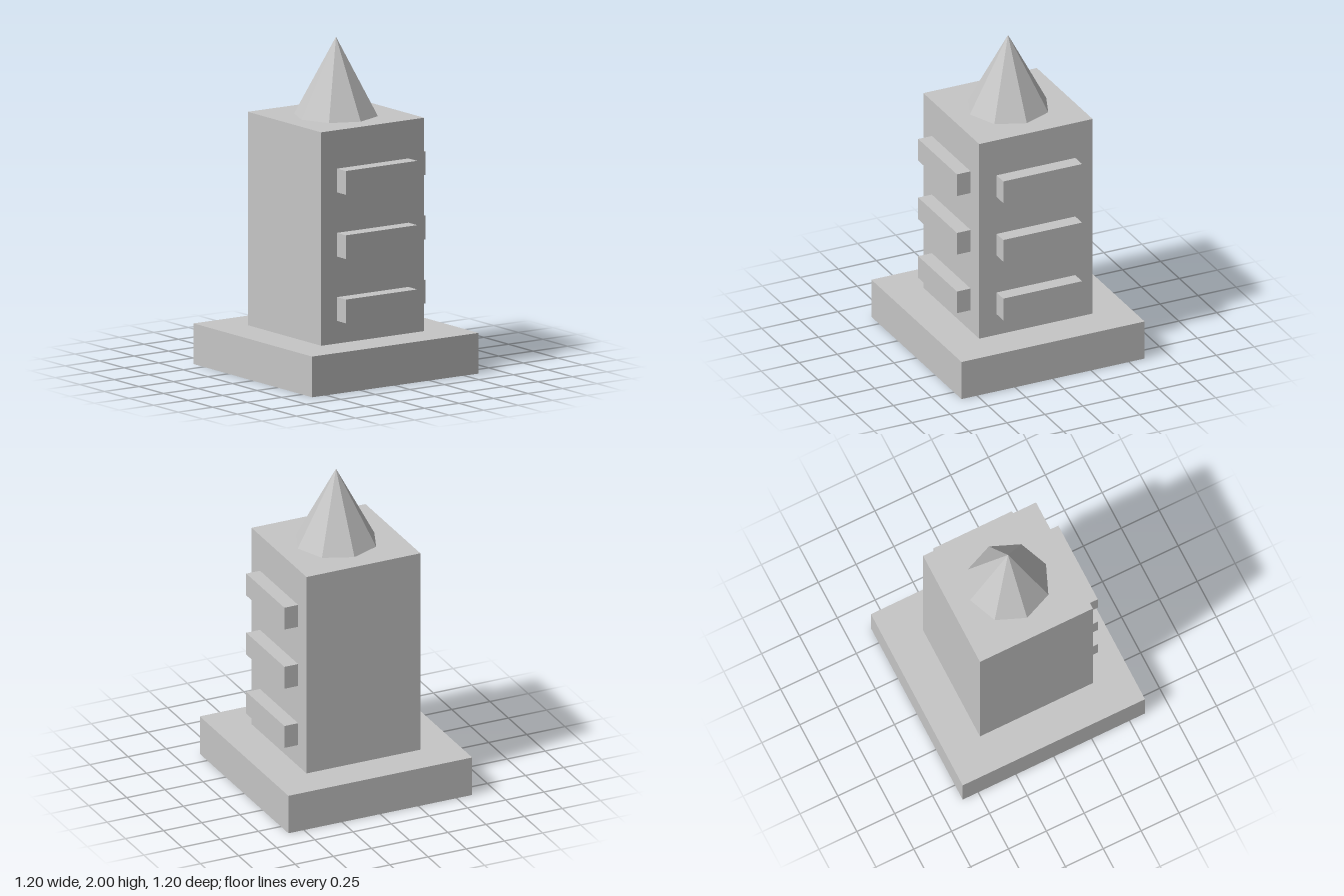
import * as THREE from 'three';

export function createModel() {
  const model = new THREE.Group();
  const stone = new THREE.MeshStandardMaterial({ color: 0xc6c6c6 });
  stone.name = 'light grey stone';
  stone.flatShading = true;

  const add = (name, geometry, x, y, z) => {
    const mesh = new THREE.Mesh(geometry, stone);
    mesh.name = name;
    mesh.position.set(x, y, z);
    model.add(mesh);
  };

  // Square plinth and tower block
  const baseTop = 0.245, towerTop = 1.53, half = 0.373;
  add('base', new THREE.BoxGeometry(1.204, baseTop, 1.204), 0, baseTop / 2, 0);
  add('tower', new THREE.BoxGeometry(half * 2, towerTop - baseTop, half * 2), 0, (baseTop + towerTop) / 2, 0);

  // Eight-sided spire
  const spireHeight = 2 - towerTop;
  add('spire', new THREE.ConeGeometry(0.251, spireHeight, 8), 0, towerTop + spireHeight / 2, 0);

  // Three balconies on the left face and three on the back face
  const length = 0.518, height = 0.143, depth = 0.09;
  for (let i = 0; i < 3; i++) {
    const y = 0.453 + i * 0.387;
    add('leftBalcony' + (i + 1), new THREE.BoxGeometry(depth, height, length), half + depth / 2, y, 0);
    add('backBalcony' + (i + 1), new THREE.BoxGeometry(length, height, depth), 0, y, -half - depth / 2);
  }
  return model;
}
